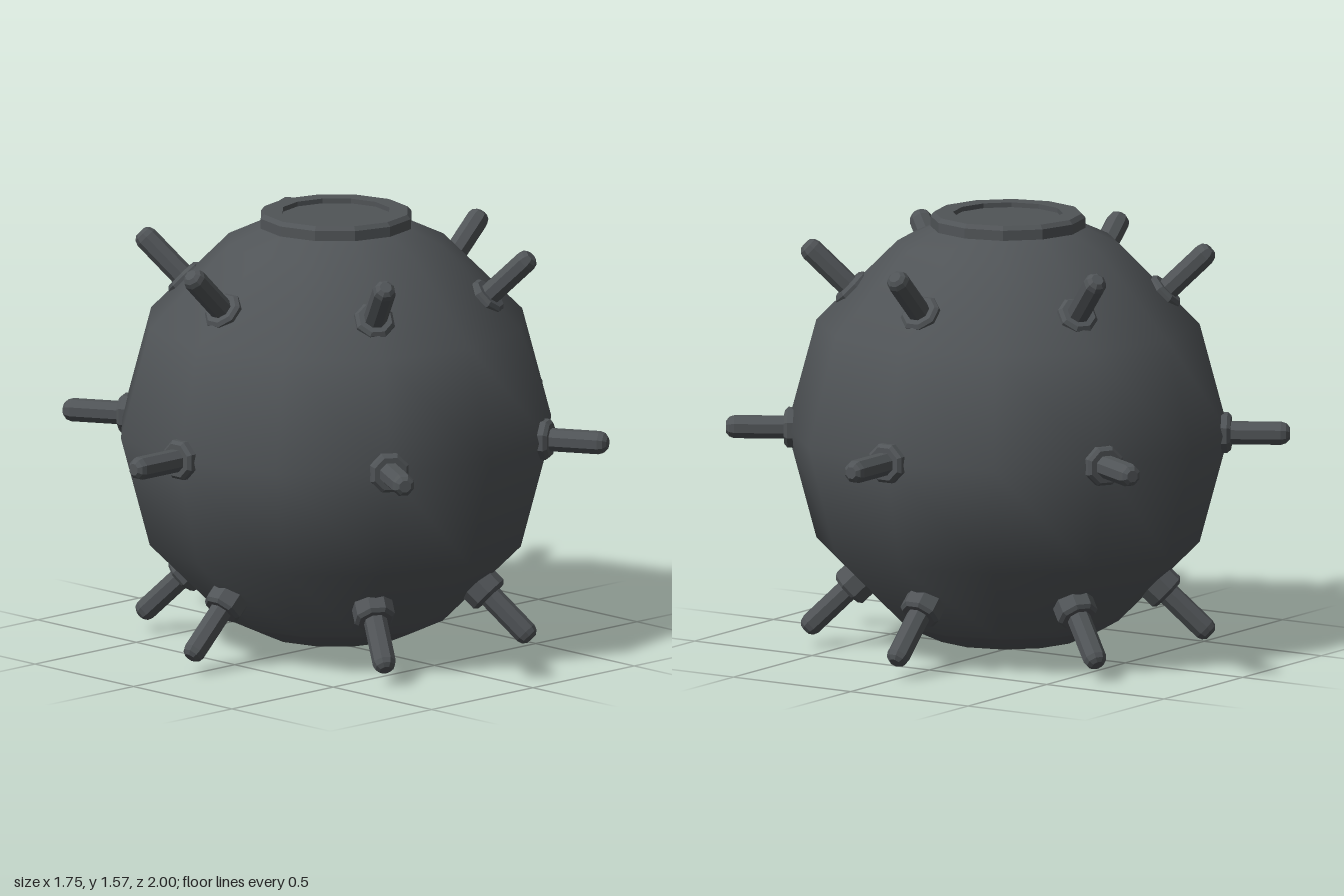
import * as THREE from 'three';

const R = 0.785;   // shell radius, also the height of its centre
const rad = THREE.MathUtils.degToRad;

// Lathe from [radius, height] points, optionally with faceted normals
function lathe(points, sides, faceted) {
  const g = new THREE.LatheGeometry(points.map(([x, y]) => new THREE.Vector2(x, y)), sides);
  if (!faceted) return g;
  const flat = g.toNonIndexed();
  flat.computeVertexNormals();
  return flat;
}

// Point on the shell profile at an angle from the top pole
const onShell = (deg) => [R * Math.sin(rad(deg)), R + R * Math.cos(rad(deg))];

export function createModel() {
  const model = new THREE.Group();
  model.name = 'spikedBall';
  const iron = new THREE.MeshStandardMaterial({ color: 0x505457 });
  iron.name = 'darkIron';

  function add(parent, name, geometry) {
    const mesh = new THREE.Mesh(geometry, iron);
    mesh.name = name;
    parent.add(mesh);
    return mesh;
  }

  // Shell with a separate, creased bottom cap
  add(model, 'shell', lathe([150, 120, 90, 60, 30, 19.4].map(onShell), 12, false));
  add(model, 'bottomCap', lathe([[0, 0], ...[160.6, 150].map(onShell)], 12, false));

  // Round hatch rim with a shallow recessed lid
  add(model, 'hatch', lathe([
    [0.275, 1.48], [0.275, 1.555], [0.262, 1.57], [0.195, 1.57], [0.195, 1.553], [0, 1.553],
  ], 12, true));

  // Eight-sided nut and rod, both running out along +y
  const nut = lathe([[0.074, 0.66], [0.074, 0.78], [0.062, 0.792], [0, 0.792]], 8, true);
  const rod = lathe([[0.042, 0.72], [0.042, 0.97], [0.036, 0.988], [0.022, 1], [0, 1]], 8, true);
  nut.rotateY(Math.PI / 8);
  rod.rotateY(Math.PI / 8);

  // Three rings of six spikes
  const rings = [
    { name: 'upperSpike', tilt: 44, y: 0.754 },
    { name: 'middleSpike', tilt: 0, y: 0.787 },
    { name: 'lowerSpike', tilt: -44, y: 0.754 },
  ];
  for (const ring of rings) {
    for (let i = 0; i < 6; i++) {
      const spike = new THREE.Group();
      spike.name = ring.name + (i + 1);
      spike.position.y = ring.y;
      spike.rotation.order = 'YXZ';
      spike.rotation.set(rad(90 - ring.tilt), i * Math.PI / 3, 0);
      add(spike, 'nut', nut);
      add(spike, 'rod', rod);
      model.add(spike);
    }
  }
  return model;
}
